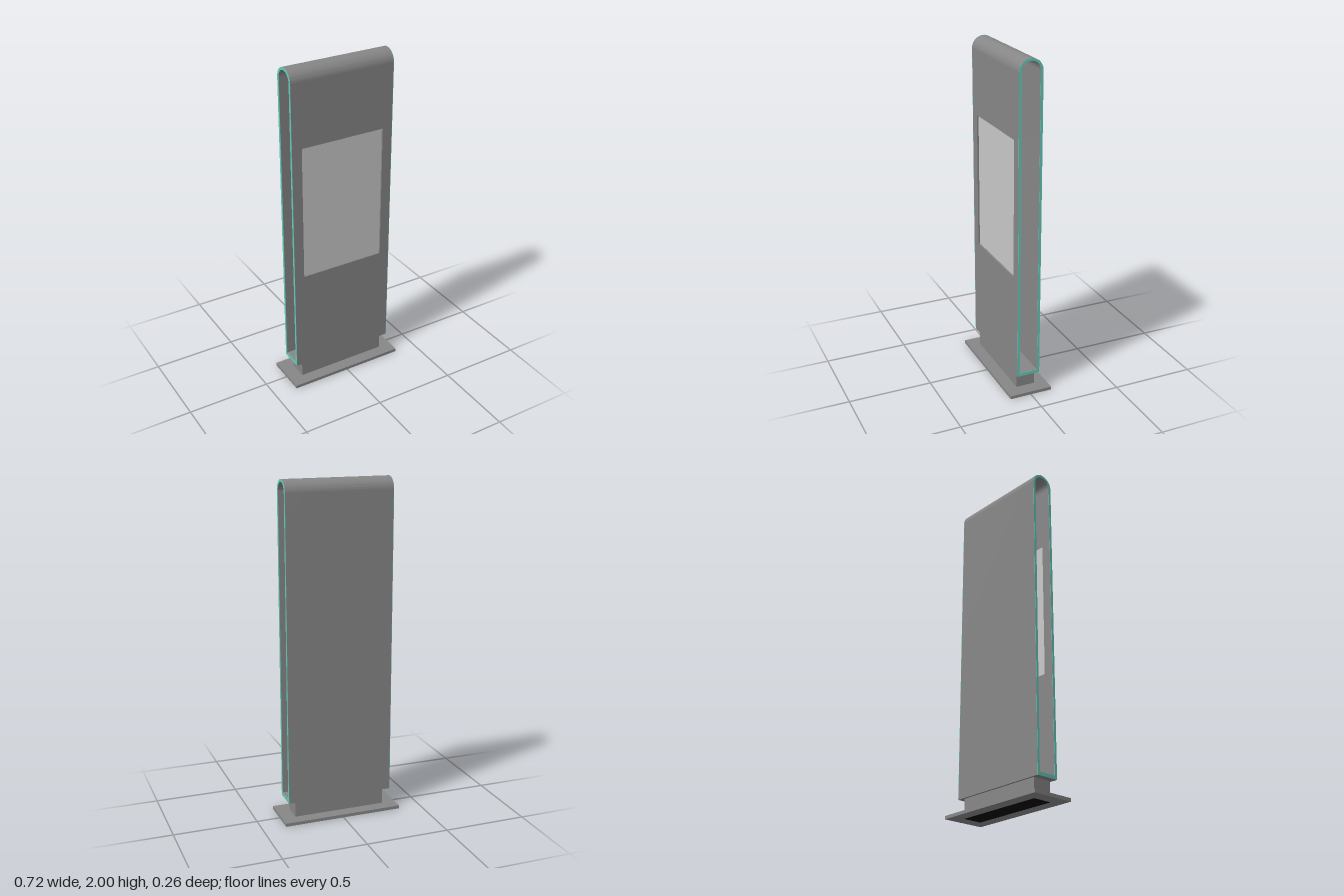
import * as THREE from 'three';
import { toCreasedNormals } from 'three/addons/utils/BufferGeometryUtils.js';

const W = 0.645, R = 0.07, T = 0.015, FLOOR = 0.02; // shell width, outer radius, wall, floor
const Y0 = 0.115, YC = 2 - R;                       // shell bottom, centre of the rounded top
const SCREEN = { x: 0.26, y0: 0.735, y1: 1.55 };
const TRIM = 0.002;

const paint = (name, color) => {
  const m = new THREE.MeshStandardMaterial({ color });
  m.name = name;
  return m;
};

// Extrude a (z, y) profile along x, from x1 down to x1 - length
function extrudeX(shape, length, x1) {
  const g = new THREE.ExtrudeGeometry(shape, { depth: length, bevelEnabled: false, curveSegments: 32 });
  g.rotateY(-Math.PI / 2);
  g.translate(x1, 0, 0);
  return toCreasedNormals(g, 0.5);
}

// Closed arch outline with straight sides
function arch(target, r, bottom) {
  target.moveTo(r, bottom);
  target.lineTo(r, YC);
  target.absarc(0, YC, r, 0, Math.PI, false);
  target.lineTo(-r, bottom);
  target.closePath();
  return target;
}

function rect(target, x0, y0, x1, y1) {
  target.moveTo(x0, y0);
  target.lineTo(x1, y0);
  target.lineTo(x1, y1);
  target.lineTo(x0, y1);
  target.closePath();
  return target;
}

export function createModel() {
  const model = new THREE.Group();
  const metal = paint('grey metal', 0x868686);
  const glass = paint('light grey screen', 0xc8c8c8);
  const teal = paint('teal edge', 0x66c8b8);
  const black = paint('black underside', 0x080808);

  const add = (name, geometry, material, x = 0, y = 0, z = 0) => {
    const mesh = new THREE.Mesh(geometry, material);
    mesh.name = name;
    mesh.position.set(x, y, z);
    model.add(mesh);
  };
  const box = (name, material, w, y0, y1, d, z = 0) =>
    add(name, new THREE.BoxGeometry(w, y1 - y0, d), material, 0, (y0 + y1) / 2, z);

  // Foot plate, its underside pad and the post
  box('basePlate', metal, 0.722, 0.001, 0.02, 0.262);
  box('basePad', black, 0.56, 0, 0.004, 0.116);
  box('post', metal, 0.56, 0.02, Y0, 0.116);

  // Rounded top, back wall and floor as one bent sheet
  const inner = R - T;
  const sheet = new THREE.Shape();
  sheet.moveTo(R, YC);
  sheet.absarc(0, YC, R, 0, Math.PI, false);
  sheet.lineTo(-R, Y0);
  sheet.lineTo(inner, Y0);
  sheet.lineTo(inner, Y0 + FLOOR);
  sheet.lineTo(-inner, Y0 + FLOOR);
  sheet.lineTo(-inner, YC);
  sheet.absarc(0, YC, inner, Math.PI, 0, true);
  sheet.closePath();
  const length = W - 2 * TRIM;
  add('shell', extrudeX(sheet, length, length / 2), metal);

  // Front wall with the screen opening
  const front = rect(new THREE.Shape(), -length / 2, Y0, length / 2, YC);
  front.holes.push(rect(new THREE.Path(), -SCREEN.x, SCREEN.y0, SCREEN.x, SCREEN.y1));
  add('frontWall', new THREE.ExtrudeGeometry(front, { depth: T, bevelEnabled: false }), metal, 0, 0, inner);

  // Recessed screen
  box('screen', glass, 2 * SCREEN.x, SCREEN.y0, SCREEN.y1, 0.005, inner + 0.0025);

  // Coloured edges around both open ends
  const loop = arch(new THREE.Shape(), R, Y0);
  loop.holes.push(arch(new THREE.Path(), inner, Y0 + FLOOR));
  add('leftEdge', extrudeX(loop, TRIM, W / 2), teal);
  add('rightEdge', extrudeX(loop, TRIM, -W / 2 + TRIM), teal);

  return model;
}
